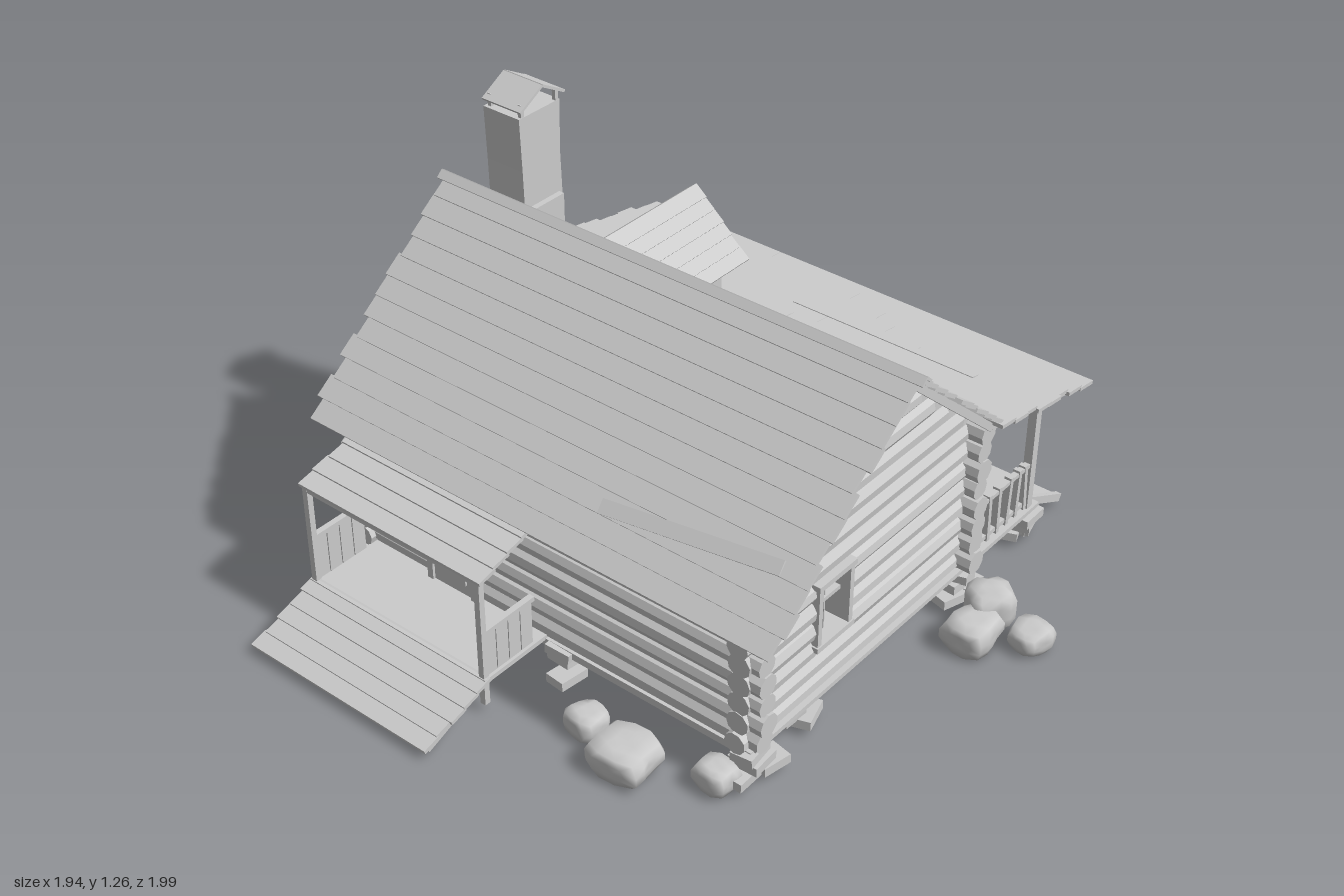
import * as THREE from 'three';
import { mergeVertices } from 'three/addons/utils/BufferGeometryUtils.js';

const mat = new THREE.MeshStandardMaterial({ color: 0xcccccc, side: THREE.DoubleSide });
const flat = new THREE.MeshStandardMaterial({ color: 0xcccccc, flatShading: true });

let seed = 7;
const rnd = (a, b) => {
  seed = (seed * 16807) % 2147483647;
  return a + (b - a) * (seed / 2147483647);
};

function add(parent, name, geo, x = 0, y = 0, z = 0, m = mat) {
  const mesh = new THREE.Mesh(geo, m);
  mesh.name = name;
  mesh.position.set(x, y, z);
  parent.add(mesh);
  return mesh;
}
const box = (p, name, w, h, d, x, y, z) => add(p, name, new THREE.BoxGeometry(w, h, d), x, y, z);
function group(parent, name) {
  const g = new THREE.Group();
  g.name = name;
  parent.add(g);
  return g;
}
// Square timber between two points
function beam(p, name, a, b, w, h = w) {
  const A = new THREE.Vector3(...a), B = new THREE.Vector3(...b);
  const m = box(p, name, w, h, A.distanceTo(B), 0, 0, 0);
  m.position.lerpVectors(A, B, 0.5);
  m.lookAt(B);
  return m;
}
function plate(p, name, pts, depth, holes = []) {
  const s = new THREE.Shape(pts.map(q => new THREE.Vector2(...q)));
  for (const [a, b, c, d] of holes)
    s.holes.push(new THREE.Path([[a, c], [a, d], [b, d], [b, c]].map(q => new THREE.Vector2(...q))));
  const g = new THREE.ExtrudeGeometry(s, { depth, bevelEnabled: false });
  return add(p, name, g.translate(0, 0, -depth / 2));
}

// Roof heights
const leftRoof = x => 1.0 - 0.9 * (-0.02 - x);
const rightRoof = x => 0.635 - 0.255 * (x - 0.4);

// Window frame with crossbars, in the wall's local plane
function windowFrame(p, [a, b, c, d], depth = 0.08, t = 0.016) {
  const g = group(p, 'windowFrame'), x = (a + b) / 2, y = (c + d) / 2;
  for (const u of [a, b]) box(g, 'jamb', t, d - c + t, depth, u, y, 0);
  for (const v of [c, d]) box(g, 'sill', b - a + t * 1.6, t, depth + 0.008, x, v, 0);
  box(g, 'meetingRail', b - a, 0.012, 0.02, x, y + 0.01, 0);
  box(g, 'mullion', 0.004, d - c, 0.008, x, y, 0);
}

// Log wall: thin chinking panel and rows of logs cut around openings
const R = 0.034, STEP = 0.061;
function logWall(p, name, outline, holes, y0, rows, span) {
  const g = group(p, name);
  plate(g, 'chinking', outline, 0.03, holes);
  for (let i = 0; i < rows; i++) {
    const y = y0 + i * STEP, [a, b] = span(y);
    let segs = [[a + rnd(-0.008, 0.008), b + rnd(-0.008, 0.008)]];
    for (const [h0, h1, c, d] of holes)
      if (y > c - 0.02 && y < d + 0.02)
        segs = segs.flatMap(([s, e]) => (s < h0 && e > h1 ? [[s, h0], [h1, e]] : [[s, e]]));
    for (const [s, e] of segs) {
      if (e - s < 0.03) continue;
      const r = R * rnd(0.92, 1.04);
      const geo = new THREE.CylinderGeometry(r, r * rnd(0.94, 1), e - s, 9);
      geo.rotateY(rnd(0, 0.6)).rotateZ(Math.PI / 2);
      add(g, 'log', geo, (s + e) / 2, y, 0, flat);
    }
  }
  return g;
}

// Rows of overlapping boards down a slope
function roofSlope(p, name, x0, y0, x1, y1, z0, z1, n, jag = 0.012, joints = true) {
  const g = group(p, name), ang = Math.atan2(y1 - y0, x1 - x0);
  for (let i = 0; i < n; i++) {
    const t = (i + 0.5) / n, w = Math.hypot(x1 - x0, y1 - y0) / n;
    const a = z0 + rnd(-jag, jag), b = z1 + rnd(-jag, jag), cut = joints ? a + (b - a) * rnd(0.25, 0.75) : b;
    for (const [s, e] of joints ? [[a, cut - 0.001], [cut, b]] : [[a, b]]) {
      const m = box(g, 'roofBoard', w * 1.1, 0.011, e - s, x0 + (x1 - x0) * t, y0 + (y1 - y0) * t, (s + e) / 2);
      m.rotation.z = ang + (x1 > x0 ? 0.1 : -0.1);
    }
  }
}

// Angular boulder with a flat foot on the ground
function boulder(p, x, y, z, sx, sy, sz) {
  let geo = new THREE.IcosahedronGeometry(1, 2);
  geo.deleteAttribute('uv');
  geo.deleteAttribute('normal');
  geo = mergeVertices(geo, 1e-3);
  const q = geo.attributes.position, k = rnd(0, 6), v = new THREE.Vector3();
  for (let i = 0; i < q.count; i++) {
    v.fromBufferAttribute(q, i);
    const facet = 0.86 / Math.max(Math.abs(v.x * Math.cos(k) + v.z * Math.sin(k)), Math.abs(v.z * Math.cos(k) - v.x * Math.sin(k)), Math.abs(v.y), 0.72);
    v.multiplyScalar(facet * (1 + 0.1 * Math.sin(3 * v.x + k)));
    q.setXYZ(i, v.x * sx, Math.max(v.y * sy, -y), v.z * sz);
  }
  geo.computeVertexNormals();
  add(p, 'boulder', geo, x, y, z);
}

function stonePile(p, x, z, layers = 3) {
  const g = group(p, 'stonePile');
  for (let i = 0; i < layers; i++) {
    for (const s of i ? [0] : [-1, 1]) {
      const m = box(g, 'flatStone', rnd(0.07, 0.1), 0.027, rnd(0.06, 0.09), x + s * 0.04 + rnd(-0.012, 0.012), 0.034 + i * 0.027, z + s * rnd(-0.04, 0.04));
      m.rotation.set(rnd(-0.05, 0.05), rnd(-0.4, 0.4), rnd(-0.05, 0.05));
    }
  }
}

function railing(p, a, b, n) {
  const g = group(p, 'railing'), at = (t, y) => [a[0] + (b[0] - a[0]) * t, y, a[1] + (b[1] - a[1]) * t];
  beam(g, 'topRail', at(0, 0.262), at(1, 0.262), 0.018, 0.012);
  beam(g, 'bottomRail', at(0, 0.135), at(1, 0.135), 0.014);
  for (let i = 0; i < n; i++) {
    const t = (i + 0.5) / n;
    beam(g, 'baluster', at(t, 0.12), at(t + rnd(-0.25, 0.25) / n, 0.275), 0.022, 0.014);
  }
}

export function createModel() {
  const root = new THREE.Group();
  root.name = 'logCabin';

  // Gable walls
  const gableWindow = [-0.26, -0.13, 0.275, 0.47];
  const gable = [[-0.5, 0.11], [0.42, 0.11], [0.42, 0.6], [0.39, 0.62], [-0.02, 0.975], [-0.5, 0.545]];
  const gableSpan = y => [Math.max(-0.54, -0.02 - (0.955 - y) / 0.9), Math.min(0.46, -0.02 + (0.955 - y) / 0.88)];
  for (const s of [1, -1]) {
    const w = logWall(root, s > 0 ? 'frontWall' : 'backWall', gable, [gableWindow], 0.14, 14, gableSpan);
    w.position.z = s * 0.65;
    windowFrame(w, gableWindow);
  }

  // Side walls, turned so local x runs towards the back
  const sideRect = h => [[-0.65, 0.11], [0.65, 0.11], [0.65, h], [-0.65, h]];
  const door = [-0.53, -0.37, 0.11, 0.475], wins = [[-0.07, 0.06, 0.26, 0.43], [0.41, 0.54, 0.26, 0.43]];
  const porchWall = logWall(root, 'porchWall', sideRect(0.6), [door, ...wins], 0.145, 8, () => [-0.715, 0.72]);
  porchWall.position.x = 0.42;
  wins.forEach(w => windowFrame(porchWall, w));
  const backDoor = [0.24, 0.4, 0.11, 0.45];
  const shedWall = logWall(root, 'shedWall', sideRect(0.54), [backDoor], 0.145, 7, () => [-0.715, 0.72]);
  shedWall.position.x = -0.5;
  for (const [w, [a, b, c, d], s] of [[porchWall, door, 1], [shedWall, backDoor, -1]]) {
    w.rotation.y = Math.PI / 2;
    const g = group(w, 'door'), x = (a + b) / 2;
    box(g, 'doorSlab', b - a, d - c, 0.02, x, (c + d) / 2, s * 0.022);
    for (const u of [a, b]) box(g, 'doorJamb', 0.02, d - c, 0.08, u, (c + d) / 2, 0);
    box(g, 'doorLintel', b - a + 0.03, 0.02, 0.08, x, d, 0);
    box(g, 'upperPanel', 0.1, 0.14, 0.008, x, 0.36, s * 0.034);
    box(g, 'lowerPanel', 0.1, 0.1, 0.008, x, 0.2, s * 0.034);
    box(g, 'doorHandle', 0.012, 0.02, 0.016, b - 0.025, 0.26, s * 0.038);
  }

  // Floor boards and floor beams
  const floor = group(root, 'floor');
  for (let i = 0; i < 32; i++)
    box(floor, 'floorBoard', 1.29 + rnd(0, 0.02), 0.014, 0.0415, 0.145, 0.107, -0.667 + i * 0.043);
  for (const x of [-0.5, 0.42, 0.77]) box(floor, 'floorBeam', 0.04, 0.022, 1.36, x, 0.093, 0);

  // Roof
  roofSlope(root, 'leftRoof', -0.02, 0.998, -0.58, leftRoof(-0.58), -0.78, 0.772, 12);
  roofSlope(root, 'rightRoof', -0.02, 0.998, 0.41, 0.632, -0.78, 0.772, 9);
  roofSlope(root, 'porchRoof', 0.4, 0.632, 0.865, 0.52, -0.776, 0.77, 8);
  for (const s of [1, -1]) {
    const m = box(root, 'ridgeBoard', 0.026, 0.008, 1.59, -0.02 + s * 0.009, 1.0, 0);
    m.rotation.z = -s * 0.73;
    beam(root, 'leftRafter', [-0.02, 0.977, s * 0.735], [-0.56, 0.492, s * 0.735], 0.014, 0.022);
    beam(root, 'rightRafter', [-0.02, 0.977, s * 0.735], [0.4, 0.612, s * 0.735], 0.014, 0.022);
    beam(root, 'porchRafter', [0.4, 0.615, s * 0.735], [0.84, 0.51, s * 0.735], 0.014, 0.018);
    plate(root, 'porchGable', [[0.45, 0.515], [0.79, 0.515], [0.79, 0.53], [0.45, 0.613]], 0.014).position.z = s * 0.67;
  }
  const loose = box(root, 'looseBoard', 0.04, 0.01, 0.53, -0.455, leftRoof(-0.455) + 0.009, 0.43);
  loose.rotation.set(0, 0.12, 0.733, 'ZYX');
  const patch = box(root, 'patchBoard', 0.035, 0.008, 0.6, 0.6, rightRoof(0.6) + 0.004, 0.26);
  patch.rotation.z = -0.25;

  // Dormer
  const dormer = group(root, 'dormer'), DZ = -0.25;
  const face = plate(dormer, 'dormerFace', [[-0.11, 0.65], [0.11, 0.65], [0.11, 0.85], [0, 0.955], [-0.11, 0.85]], 0.016, [[-0.04, 0.04, 0.74, 0.87]]);
  face.position.set(0.375, 0, DZ);
  face.rotation.y = Math.PI / 2;
  for (let i = 0; i < 6; i++) box(face, 'louver', 0.08, 0.02, 0.005, 0, 0.75 + i * 0.022, -0.008).rotation.x = 0.6;
  for (const s of [1, -1]) {
    plate(dormer, 'dormerCheek', [[0.38, 0.65], [0.38, 0.86], [0.14, 0.86]], 0.014).position.z = DZ + s * 0.105;
    for (let i = 0; i < 6; i++) {
      const t = (i + 0.5) / 6, y = 0.973 - 0.172 * t, x0 = 0.01 + 0.2 * t, x1 = 0.41 + rnd(-0.004, 0.006);
      box(dormer, 'dormerRoofBoard', x1 - x0, 0.01, 0.046, (x0 + x1) / 2, y, DZ + s * 0.176 * t).rotation.x = s * 0.68;
    }
    beam(dormer, 'dormerBargeboard', [0.4, 0.958, DZ], [0.4, 0.795, DZ + s * 0.17], 0.014, 0.02);
  }

  // Chimney, slightly uneven, with a few proud stones
  const chimney = group(root, 'chimney');
  const shaft = new THREE.BoxGeometry(0.155, 1.14, 0.13, 1, 7, 1), q = shaft.attributes.position;
  for (let i = 0; i < q.count; i++) {
    const y = q.getY(i);
    q.setX(i, q.getX(i) * (1 + 0.04 * Math.sin(y * 14)) + 0.004 * Math.sin(y * 9));
  }
  add(chimney, 'shaft', shaft, 0.173, 0.61, -0.668, flat);
  for (const [x, y] of [[0.14, 0.2], [0.2, 0.26], [0.13, 0.42], [0.21, 0.47], [0.16, 0.55]])
    box(chimney, 'proudStone', 0.035, 0.016, 0.012, x, y, -0.733);
  box(chimney, 'flashing', 0.13, 0.1, 0.02, 0.173, 0.85, -0.595);
  for (const s of [1, -1]) {
    beam(chimney, 'capSlab', [0.173, 1.252, -0.662], [0.173 + s * 0.088, 1.203, -0.662], 0.14, 0.008);
    for (const z of [-0.61, -0.72]) box(chimney, 'capPost', 0.012, 0.045, 0.012, 0.173 + s * 0.068, 1.195, z);
  }

  // Porch: posts, braces, rails and steps
  const porch = group(root, 'porch');
  box(porch, 'porchBeam', 0.024, 0.03, 1.4, 0.76, 0.524, 0);
  for (const z of [0.665, 0.21, -0.665]) {
    const low = z > 0 ? 0.015 : 0.1;
    box(porch, 'porchPost', 0.026, 0.515 - low, 0.026, 0.76, (0.515 + low) / 2, z);
    for (const s of [1, -1])
      if (Math.abs(z + s * 0.06) < 0.67) beam(porch, 'brace', [0.76, 0.44, z], [0.76, 0.515, z + s * 0.05], 0.014);
    if (Math.abs(z) > 0.5) {
      beam(porch, 'brace', [0.76, 0.44, z], [0.71, 0.52, z], 0.014);
      beam(porch, 'brace', [0.475, 0.44, z], [0.525, 0.52, z], 0.014);
      box(porch, 'wallPost', 0.024, 0.41, 0.024, 0.475, 0.315, z);
      railing(porch, [0.48, z], [0.76, z], 6);
    }
  }
  railing(porch, [0.765, 0.2], [0.765, -0.655], 15);
  const steps = group(root, 'steps');
  for (const z of [0.21, 0.655]) beam(steps, 'stringer', [0.78, 0.115, z], [0.965, 0.022, z], 0.018, 0.024);
  for (const [x, y] of [[0.83, 0.085], [0.88, 0.066], [0.925, 0.043]]) box(steps, 'tread', 0.034, 0.009, 0.445, x, y, 0.432);

  // Lean-to with low end walls and a ramp
  const lean = group(root, 'leanTo');
  box(lean, 'leanToFloor', 0.25, 0.014, 0.65, -0.625, 0.107, -0.325);
  roofSlope(lean, 'leanToRoof', -0.54, 0.498, -0.75, 0.43, -0.647, 0, 4, 0.006, false);
  roofSlope(lean, 'ramp', -0.735, 0.112, -0.968, 0.022, -0.647, 0, 5, 0.006, false);
  box(lean, 'eaveBeam', 0.016, 0.018, 0.62, -0.738, 0.42, -0.325);
  for (const z of [-0.635, -0.015]) {
    box(lean, 'leanToPost', 0.018, 0.4, 0.018, -0.738, 0.225, z);
    for (let i = 0; i < 4; i++) box(lean, 'endBoard', 0.042, 0.14 + rnd(0, 0.008), 0.012, -0.715 + i * 0.045, 0.185, z);
    box(lean, 'endRail', 0.19, 0.014, 0.018, -0.645, 0.255, z);
    beam(lean, 'rampBeam', [-0.74, 0.1, z], [-0.955, 0.017, z], 0.016, 0.014);
  }

  // Foundation stones, debris and boulders
  const ground = group(root, 'groundStones');
  for (const [x, z] of [[-0.49, 0.66], [0.42, 0.66], [0.76, 0.66], [0.76, -0.66], [-0.49, -0.66], [0.42, -0.66],
    [-0.3, 0.62], [0.17, -0.69], [0.76, 0.2], [-0.27, -0.62], [-0.49, 0.05]]) stonePile(ground, x, z);
  for (const [x, z] of [[-0.11, 0.58], [-0.02, 0.45], [0.1, 0.5], [0.52, 0.6], [0.25, -0.73]]) stonePile(ground, x, z, 1);
  box(ground, 'looseStone', 0.06, 0.012, 0.036, 0.145, 0.03, -0.982);
  box(ground, 'looseStone', 0.05, 0.012, 0.07, 0.66, 0.035, 0.1);
  boulder(ground, 0.29, 0.045, 0.81, 0.085, 0.05, 0.07);
  boulder(ground, 0.385, 0.058, 0.79, 0.075, 0.058, 0.065);
  boulder(ground, 0.365, 0.035, 0.935, 0.06, 0.038, 0.058);
  boulder(ground, -0.67, 0.045, 0.4, 0.078, 0.05, 0.1);
  boulder(ground, -0.625, 0.035, 0.24, 0.055, 0.038, 0.058);
  boulder(ground, -0.58, 0.04, 0.62, 0.045, 0.042, 0.062);
  return root;
}
